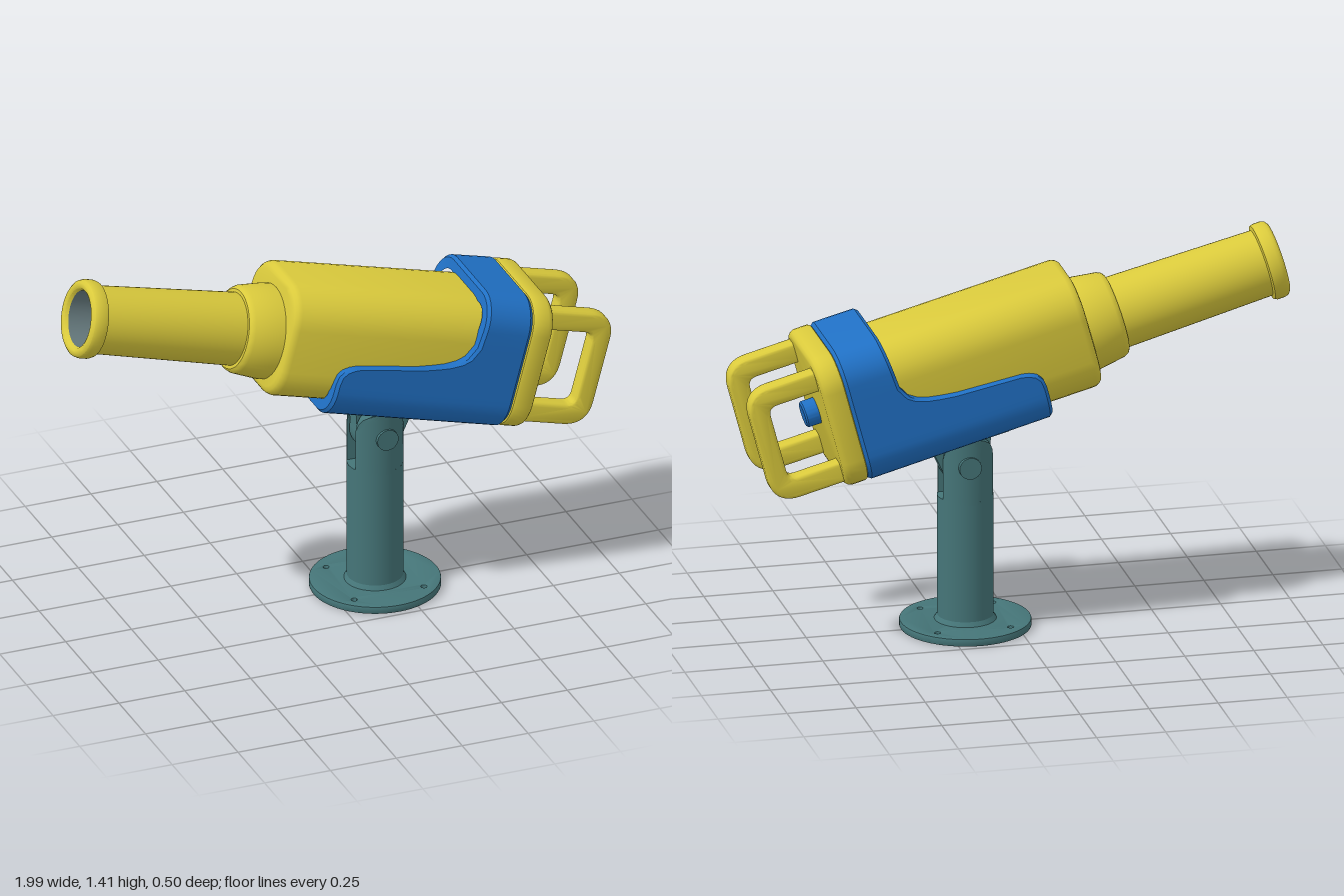
import * as THREE from 'three';
import { toCreasedNormals } from 'three/addons/utils/BufferGeometryUtils.js';

const paint = (name, color) => {
  const m = new THREE.MeshStandardMaterial({ color });
  m.name = name;
  return m;
};

// Smooth faces joined below the crease angle, sharp above it
const crease = (g, angle = 0.6) => toCreasedNormals(g, angle);

// Skin a series of closed rings, ordered counter-clockwise about the loft direction
function loft(rings, caps = true) {
  const n = rings[0].length, pos = rings.flat(2), idx = [];
  for (let i = 0; i < rings.length - 1; i++) {
    for (let j = 0; j < n; j++) {
      const a = i * n + j, b = i * n + (j + 1) % n;
      idx.push(a, b, b + n, a, b + n, a + n);
    }
  }
  if (caps) {
    const last = (rings.length - 1) * n;
    for (let j = 1; j < n - 1; j++) idx.push(0, j + 1, j, last, last + j, last + j + 1);
  }
  const g = new THREE.BufferGeometry();
  g.setAttribute('position', new THREE.Float32BufferAttribute(pos, 3));
  g.setIndex(idx);
  return crease(g);
}

// Rounded rectangle as [v, z] points; splits add points along both straight sides
function section(hw, v0, v1, r, splits = []) {
  const pts = [], steps = 8;
  const centers = [[v1 - r, hw - r], [v0 + r, hw - r], [v0 + r, r - hw], [v1 - r, r - hw]];
  centers.forEach(([cv, cz], k) => {
    for (let i = 0; i <= steps; i++) {
      const a = (k + i / steps) * Math.PI / 2;
      pts.push([cv + r * Math.cos(a), cz + r * Math.sin(a)]);
    }
    if (k === 0) [...splits].reverse().forEach(v => pts.push([v, hw]));
    if (k === 2) splits.forEach(v => pts.push([v, -hw]));
  });
  return pts;
}

// Rounded block along x from [x, inset] stations
const roundedBlock = (hw, v0, v1, r, stations) => loft(stations.map(([x, d]) =>
  section(hw - d, v0 + d, v1 - d, r - d).map(([v, z]) => [x, v, z])));

// Turned part about the tube axis, from [x, radius] points
function turned(points, axisY) {
  const g = new THREE.LatheGeometry(points.map(([x, r]) => new THREE.Vector2(r, x)), 48);
  g.rotateZ(-Math.PI / 2).translate(0, axisY, 0);
  return crease(g);
}

// Front edge of the sleeve: [height, x]
const EDGE = [[0.75, -0.31], [0.9, -0.31], [0.93, -0.305], [0.95, -0.29], [0.962, -0.265], [0.968, -0.24],
  [0.983, 0], [0.992, 0.06], [1.0, 0.1], [1.015, 0.142], [1.035, 0.17], [1.08, 0.195], [1.3, 0.214]];
function edgeAt(v) {
  const i = Math.max(1, EDGE.findIndex(e => e[0] >= v));
  const [v0, x0] = EDGE[i - 1], [v1, x1] = EDGE[i];
  return x0 + (x1 - x0) * (v - v0) / (v1 - v0);
}

function sleeveGeometry() {
  const splits = EDGE.slice(1, -1).map(e => e[0]);
  const sec = d => section(0.25 - d, 0.755 + d, 1.26 - d, 0.115 - d, splits);
  const outer = sec(0), soft = sec(0.01), inner = sec(0.05);
  const front = outer.map(([v]) => edgeAt(v));
  const ring = (pts, xAt) => pts.map(([v, z], j) => {
    const x = xAt(j);
    return [x, v, z * (1 + (x - 0.38) * 0.06)];
  });
  return loft([
    ring(inner, j => front[j]), ring(soft, j => front[j]), ring(outer, j => front[j] + 0.012),
    ring(outer, () => 0.372), ring(soft, () => 0.384), ring(inner, () => 0.384),
  ], false);
}

function handleGeometry() {
  const s = new THREE.Shape(), e = 0.015;
  const x0 = 0.44, x1 = 0.728 - e, y0 = 0.785 + e, y1 = 1.22 - e, R = 0.08;
  const a = 0.655 + e, b = 0.863 - e, c = 1.143 + e, q = 0.05;
  s.moveTo(x0, y0);
  s.lineTo(x1 - R, y0);
  s.quadraticCurveTo(x1, y0, x1, y0 + R);
  s.lineTo(x1, y1 - R);
  s.quadraticCurveTo(x1, y1, x1 - R, y1);
  s.lineTo(x0, y1);
  s.lineTo(x0, c);
  s.lineTo(a - q, c);
  s.quadraticCurveTo(a, c, a, c - q);
  s.lineTo(a, b + q);
  s.quadraticCurveTo(a, b, a - q, b);
  s.lineTo(x0, b);
  const depth = 0.035;
  const g = new THREE.ExtrudeGeometry(s, { depth, bevelThickness: e, bevelSize: e, bevelSegments: 4, curveSegments: 10 });
  return crease(g.translate(0, 0, -depth / 2), 0.7);
}

// One cheek of the fork: a circle segment, narrowing over a rounded top
function cheekGeometry() {
  const R = 0.1, rows = [[0.48, 0.09], [0.64, 0.09], [0.67, 0.085], [0.695, 0.073], [0.712, 0.05], [0.718, 0.025]];
  return loft(rows.map(([y, w]) => {
    const ring = [];
    for (let i = 0; i <= 14; i++) {
      const x = w * (i / 7 - 1);
      ring.push([x, y, Math.sqrt(R * R - x * x)]);
    }
    ring.push([w, y, 0.04], [-w, y, 0.04]);
    return ring;
  }));
}

export function createModel() {
  const yellow = paint('yellow plastic', 0xdaca3c);
  const blue = paint('blue plastic', 0x2070c4);
  const teal = paint('teal metal', 0x457578);
  const grey = paint('grey bore', 0x687c80);
  const model = new THREE.Group();
  model.name = 'mountedTelescope';
  const add = (parent, name, geometry, material) => {
    const m = new THREE.Mesh(geometry, material);
    m.name = name;
    parent.add(m);
    return m;
  };

  // Tilted telescope: local x runs from muzzle to handles
  const scope = new THREE.Group();
  scope.name = 'telescope';
  scope.rotation.z = -Math.PI / 12;
  model.add(scope);

  const axis = 0.987;
  add(scope, 'barrel', turned([[-1.24, 0.1], [-1.252, 0.106], [-1.257, 0.115], [-1.256, 0.126], [-1.248, 0.136],
    [-1.235, 0.14], [-1.208, 0.14], [-1.197, 0.136], [-1.193, 0.121], [-0.6, 0.131]], axis), yellow);
  add(scope, 'bore', turned([[-1.0, 0], [-1.0, 0.1], [-1.24, 0.1]], axis), grey);
  add(scope, 'collar', turned([[-0.648, 0.12], [-0.648, 0.142], [-0.642, 0.15], [-0.628, 0.157],
    [-0.54, 0.17], [-0.48, 0.172]], axis), yellow);
  add(scope, 'body', roundedBlock(0.208, 0.787, 1.217, 0.135,
    [[-0.518, 0.03], [-0.514, 0.015], [-0.505, 0.006], [-0.49, 0], [0.39, 0]]), yellow);
  add(scope, 'sleeve', sleeveGeometry(), blue);
  add(scope, 'rearPlate', roundedBlock(0.25, 0.757, 1.258, 0.115,
    [[0.383, 0.012], [0.387, 0.004], [0.395, 0], [0.445, 0], [0.458, 0.005], [0.466, 0.014], [0.468, 0.024]]), yellow);
  add(scope, 'button', turned([[0.45, 0.048], [0.514, 0.048], [0.52, 0.042], [0.52, 0]], 1.003), blue);
  for (const side of [1, -1]) {
    add(scope, side > 0 ? 'leftHandle' : 'rightHandle', handleGeometry(), yellow).position.z = side * 0.155;
  }

  // Mounting plate and tongue reaching down to the pivot
  const plate = new THREE.BoxGeometry(0.29, 0.03, 0.2);
  add(scope, 'mountPlate', plate, teal).position.set(-0.012, 0.747, 0);
  const tongue = new THREE.Shape();
  tongue.moveTo(0.12, 0.745);
  tongue.lineTo(-0.11, 0.745);
  tongue.absarc(0.013, 0.646, 0.09, Math.PI, Math.PI * 2, false);
  add(scope, 'tongue', crease(new THREE.ExtrudeGeometry(tongue,
    { depth: 0.066, bevelEnabled: false, curveSegments: 24 }).translate(0, 0, -0.033)), teal);

  // Stand
  const stand = new THREE.Group();
  stand.name = 'stand';
  stand.position.x = 0.174;
  model.add(stand);

  const disc = new THREE.Shape().absarc(0, 0, 0.229, 0, Math.PI * 2, false);
  for (let i = 0; i < 4; i++) {
    const a = Math.PI / 4 + i * Math.PI / 2;
    disc.holes.push(new THREE.Path().absarc(0.187 * Math.cos(a), 0.187 * Math.sin(a), 0.014, 0, Math.PI * 2, true));
  }
  const base = new THREE.ExtrudeGeometry(disc,
    { depth: 0.02, bevelThickness: 0.004, bevelSize: 0.004, bevelSegments: 2, curveSegments: 32 });
  add(stand, 'base', crease(base.rotateX(-Math.PI / 2).translate(0, 0.004, 0)), teal);
  add(stand, 'baseWeld', new THREE.CylinderGeometry(0.1, 0.11, 0.016, 40, 1, true), teal).position.y = 0.036;
  add(stand, 'post', new THREE.CylinderGeometry(0.1, 0.1, 0.47, 40), teal).position.y = 0.255;
  for (const side of [1, -1]) {
    add(stand, 'forkCheek', cheekGeometry(), teal).rotation.y = side > 0 ? 0 : Math.PI;
  }
  const bolt = new THREE.CylinderGeometry(0.04, 0.04, 0.216, 24);
  add(stand, 'pivotBolt', bolt.rotateX(Math.PI / 2), teal).position.set(0.006, 0.62, 0);

  return model;
}
